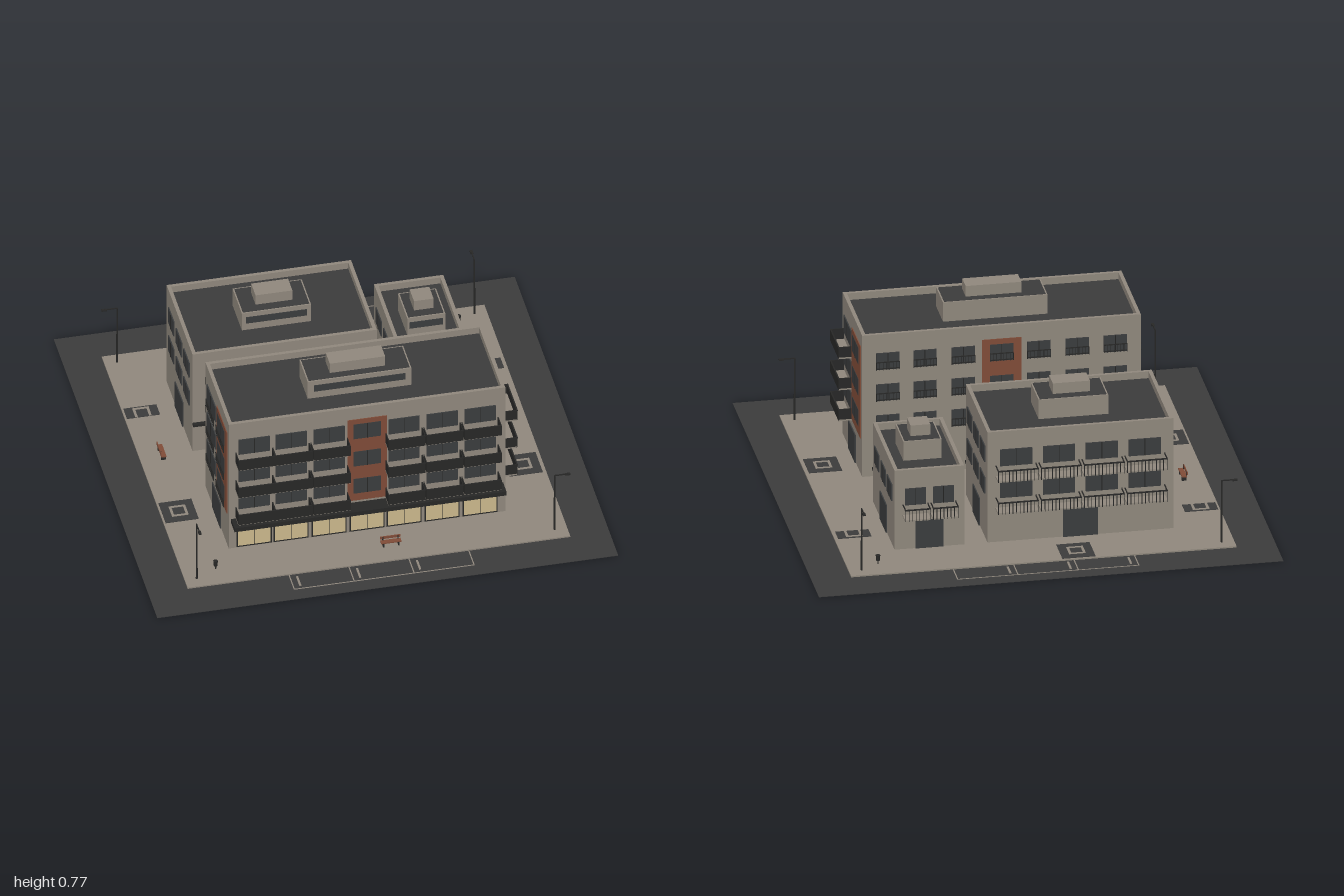
import * as THREE from 'three';

const mat = (name, color) => Object.assign(new THREE.MeshStandardMaterial({ color }), { name });
const concrete = mat('concrete', 0x8f877c);
const asphalt = mat('asphalt', 0x3b3b3b);
const glass = mat('windowGlass', 0x3a3c3d);
const metal = mat('darkMetal', 0x272726);
const brick = mat('brickPanel', 0x7f4b37);
const shopGlass = mat('shopGlass', 0xcab78c);

// Box given by its centre in x and z and by its bottom and top in y
function box(parent, name, m, x, z, w, d, y0, y1) {
  const mesh = new THREE.Mesh(new THREE.BoxGeometry(w, y1 - y0, d), m);
  mesh.position.set(x, (y0 + y1) / 2, z);
  mesh.name = name;
  parent.add(mesh);
  return mesh;
}

function group(parent, name, x = 0, z = 0, turn = 0) {
  const g = new THREE.Group();
  g.name = name;
  g.position.set(x, 0, z);
  g.rotation.y = turn;
  parent.add(g);
  return g;
}

// Rectangular frame of four bars
function frame(parent, name, m, x, z, w, d, t, y0, y1) {
  for (const s of [-1, 1]) {
    box(parent, name, m, x, z + s * (d - t) / 2, w, t, y0, y1);
    box(parent, name, m, x + s * (w - t) / 2, z, t, d - 2 * t, y0, y1);
  }
}

// Shell with parapet, sunken roof and a stepped roof house
function building(root, name, b) {
  const g = group(root, name, b.x, b.z);
  const roofY = b.h - 0.035;
  box(g, 'walls', concrete, 0, 0, b.w, b.d, 0.005, roofY);
  box(g, 'roof', asphalt, 0, 0, b.w - 0.03, b.d - 0.03, roofY, roofY + 0.004);
  frame(g, 'parapet', concrete, 0, 0, b.w, b.d, 0.016, roofY, b.h);
  const top = b.h + 0.058;
  box(g, 'roofHouse', concrete, 0, 0, b.houseW, b.houseD, roofY, top);
  box(g, 'roofHouseTop', asphalt, 0, 0, b.houseW - 0.012, b.houseD - 0.012, top, top + 0.001);
  box(g, 'roofHouseCap', concrete, 0, 0, b.capW, b.capD, top, top + 0.05);
  box(g, 'louvre', glass, 0, b.houseD / 2, b.houseW * 0.88, 0.006, b.h + 0.004, b.h + 0.036);
  return g;
}

// Facade group: local x runs along the wall, local z points outwards
function facade(b, g, side) {
  const [x, z] = [[0, b.d / 2], [b.w / 2, 0], [0, -b.d / 2], [-b.w / 2, 0]][side];
  return group(g, ['front', 'left', 'back', 'right'][side] + 'Facade', x, z, [0, 1, 2, -1][side] * Math.PI / 2);
}

function windowPane(f, x, y, w, h = 0.077) {
  box(f, 'window', glass, x, 0.002, w, 0.006, y, y + h);
  box(f, 'mullion', metal, x, 0.005, 0.003, 0.004, y, y + h);
}

function julietRail(f, x, y, w) {
  for (const dy of [0.004, 0.034]) box(f, 'rail', metal, x, 0.009, w, 0.004, y + dy, y + dy + 0.004);
  const n = Math.round(w / 0.014);
  for (let i = 0; i <= n; i++) box(f, 'railBar', metal, x - w / 2 + i * w / n, 0.009, 0.002, 0.003, y, y + 0.036);
}

// Balcony with slab and either solid panels or open bars
function balcony(f, x, y, w, solid) {
  const d = 0.058;
  box(f, 'balconySlab', concrete, x, d / 2, w, d, y, y + 0.007);
  if (solid) {
    box(f, 'balconyPanel', metal, x, d, w, 0.004, y + 0.003, y + 0.05);
    for (const s of [-1, 1]) box(f, 'balconySide', metal, x + s * (w / 2 - 0.002), d / 2, 0.004, d, y + 0.007, y + 0.05);
  } else {
    const n = Math.round(w / 0.016);
    for (let i = 0; i <= n; i++) box(f, 'balconyBar', metal, x - w / 2 + 0.002 + i * (w - 0.004) / n, d, 0.003, 0.003, y, y + 0.052);
  }
  box(f, 'handrail', metal, x, d, w, 0.006, y + 0.05, y + 0.055);
  for (const s of [-1, 1]) box(f, 'sideRail', metal, x + s * (w / 2 - 0.002), d / 2, 0.004, d, y + 0.05, y + 0.055);
}

function door(f, x, w) {
  box(f, 'door', glass, x, 0.002, w, 0.006, 0.008, 0.137);
}

function mainBlock(root) {
  const b = { x: 0, z: 0.375, w: 1.2, d: 0.45, h: 0.665, houseW: 0.45, houseD: 0.16, capW: 0.24, capD: 0.08 };
  const g = building(root, 'mainBlock', b);
  const floors = [0.213, 0.357, 0.502];
  const columns = [-0.49, -0.33, -0.165, 0, 0.16, 0.325, 0.49];
  const [front, left, back, right] = [0, 1, 2, 3].map(s => facade(b, g, s));
  // Street front with balconies, and the plainer back
  for (const f of [front, back]) {
    box(f, 'brickStrip', brick, 0, 0.001, 0.17, 0.005, 0.175, 0.603);
    for (const x of columns) for (const y of floors) {
      windowPane(f, x, y, f === back ? 0.1 : x === 0 ? 0.12 : 0.135);
      if (f === back) julietRail(f, x, y, 0.1);
      else if (x !== 0) balcony(f, x, y - 0.045, 0.162, true);
    }
  }
  // Ends with a brick strip beside a window column
  for (const f of [left, right]) {
    box(f, 'brickStrip', brick, 0.1, 0.001, 0.195, 0.005, 0.175, 0.603);
    for (const y of floors) {
      windowPane(f, -0.1, y, 0.17);
      windowPane(f, 0.087, y, 0.14);
      if (f === left) balcony(f, -0.1, y - 0.045, 0.19, true);
      else for (const x of [-0.1, 0.087]) julietRail(f, x, y - 0.03, 0.15);
    }
    door(f, 0, 0.16);
  }
  door(back, 0, 0.16);
  // Shop windows under a long canopy
  box(front, 'canopy', metal, 0, 0.034, 1.18, 0.068, 0.143, 0.163);
  for (const x of columns) {
    box(front, 'shopFrame', metal, x, 0.001, 0.152, 0.004, 0.012, 0.138);
    for (const s of [-1, 0, 1]) if (s) box(front, 'shopPane', shopGlass, x + s * 0.036, 0.003, 0.069, 0.006, 0.02, 0.128);
  }
}

function rearBlock(root, name, b) {
  const g = building(root, name, b);
  const [front, left, back, right] = [0, 1, 2, 3].map(s => facade(b, g, s));
  const step = (b.w - 0.06) / b.bays;
  for (const y of b.floors) {
    for (let i = 0; i < b.bays; i++) {
      const x = (i - (b.bays - 1) / 2) * step;
      windowPane(front, x, y, step * 0.7);
      windowPane(back, x, y, step * 0.75);
      julietRail(front, x, y, step * 0.75);
      balcony(back, x, y - 0.052, step - 0.01, false);
    }
    for (const f of [left, right]) for (const x of [-0.15, 0, 0.145]) windowPane(f, x, y, 0.107);
  }
  for (const f of [front, left, back, right]) door(f, 0, f === front || f === back ? Math.min(0.15, b.w * 0.4) : 0.15);
  box(front, 'canopy', metal, 0, 0.009, b.w, 0.018, 0.147, 0.158);
}

// Street lamp whose arm points along local x
function lamp(root, x, z, turn) {
  const g = group(root, 'streetLamp', x, z, turn);
  const pole = new THREE.Mesh(new THREE.CylinderGeometry(0.003, 0.0045, 0.287, 8), metal);
  pole.name = 'lampPole';
  pole.position.y = 0.152;
  g.add(pole);
  box(g, 'lampArm', metal, 0.028, 0, 0.062, 0.004, 0.292, 0.297);
  box(g, 'lampHead', metal, 0.057, 0, 0.022, 0.012, 0.29, 0.296);
}

function bench(root, x, z, turn) {
  const g = group(root, 'bench', x, z, turn);
  box(g, 'benchSeat', brick, 0, 0, 0.088, 0.022, 0.027, 0.032);
  box(g, 'benchBack', brick, 0, -0.012, 0.088, 0.004, 0.038, 0.05);
  for (const s of [-1, 1]) {
    box(g, 'benchLeg', metal, s * 0.033, 0, 0.005, 0.02, 0.008, 0.027);
    box(g, 'benchPost', metal, s * 0.033, -0.01, 0.004, 0.003, 0.03, 0.05);
  }
}

function site(root) {
  box(root, 'road', asphalt, 0, 0, 2, 2, 0, 0.002);
  box(root, 'pavement', concrete, 0, 0, 1.66, 1.66, 0.002, 0.008);
  // Parking bays on both streets
  for (const s of [-1, 1]) {
    box(root, 'bayLine', concrete, 0, s * 0.932, 0.785, 0.005, 0.002, 0.003);
    for (const x of [-0.39, -0.13, 0.13, 0.39]) box(root, 'bayLine', concrete, x, s * 0.882, 0.005, 0.1, 0.002, 0.003);
    for (const x of [-0.36, -0.1, 0.16]) box(root, 'wheelStop', concrete, x, s * 0.882, 0.009, 0.065, 0.002, 0.006);
  }
  // Ground grates with a square ring
  for (const [x, z] of [[-0.75, 0.298], [0.743, 0.298], [-0.153, -0.75]]) {
    box(root, 'grate', asphalt, x, z, 0.143, 0.143, 0.008, 0.01);
    frame(root, 'grateRing', concrete, x, z, 0.072, 0.072, 0.011, 0.01, 0.012);
  }
  for (const x of [-0.75, 0.743]) {
    box(root, 'grate', asphalt, x, -0.415, 0.143, 0.072, 0.008, 0.01);
    box(root, 'grateRing', concrete, x, -0.437, 0.072, 0.011, 0.01, 0.012);
    for (const s of [-1, 1]) box(root, 'grateRing', concrete, x + s * 0.03, -0.405, 0.011, 0.053, 0.01, 0.012);
  }
  box(root, 'grate', asphalt, 0.257, -0.005, 0.075, 0.145, 0.008, 0.01);
  frame(root, 'grateRing', concrete, 0.253, -0.003, 0.065, 0.072, 0.011, 0.01, 0.012);
  // Long courtyard planter
  frame(root, 'planterRim', concrete, -0.2, 0.058, 0.606, 0.066, 0.005, 0.008, 0.026);
  box(root, 'planterBed', asphalt, -0.2, 0.058, 0.596, 0.056, 0.008, 0.024);
  // Lamps, one at each corner
  lamp(root, -0.775, -0.778, Math.PI);
  lamp(root, 0.775, -0.778, Math.PI / 2);
  lamp(root, 0.775, 0.772, 0);
  lamp(root, -0.778, 0.775, -Math.PI / 2);
  bench(root, 0.075, 0.727, 0);
  bench(root, -0.733, -0.102, Math.PI / 2);
  // Litter bins on posts
  for (const [x, z] of [[0.695, -0.727], [-0.685, 0.724]]) {
    const bin = new THREE.Mesh(new THREE.CylinderGeometry(0.01, 0.008, 0.026, 10), metal);
    bin.name = 'litterBin';
    bin.position.set(x, 0.036, z);
    root.add(bin);
    box(root, 'binPost', metal, x, z, 0.005, 0.005, 0.008, 0.024);
  }
}

export function createModel() {
  const root = new THREE.Group();
  root.name = 'cityBlock';
  site(root);
  mainBlock(root);
  rearBlock(root, 'rearBlock', { x: -0.2, z: -0.35, w: 0.8, d: 0.5, h: 0.52, houseW: 0.3, houseD: 0.18, capW: 0.16, capD: 0.085, bays: 4, floors: [0.212, 0.36] });
  rearBlock(root, 'smallBlock', { x: 0.45, z: -0.35, w: 0.3, d: 0.5, h: 0.375, houseW: 0.165, houseD: 0.18, capW: 0.085, capD: 0.085, bays: 2, floors: [0.212] });
  return root;
}
